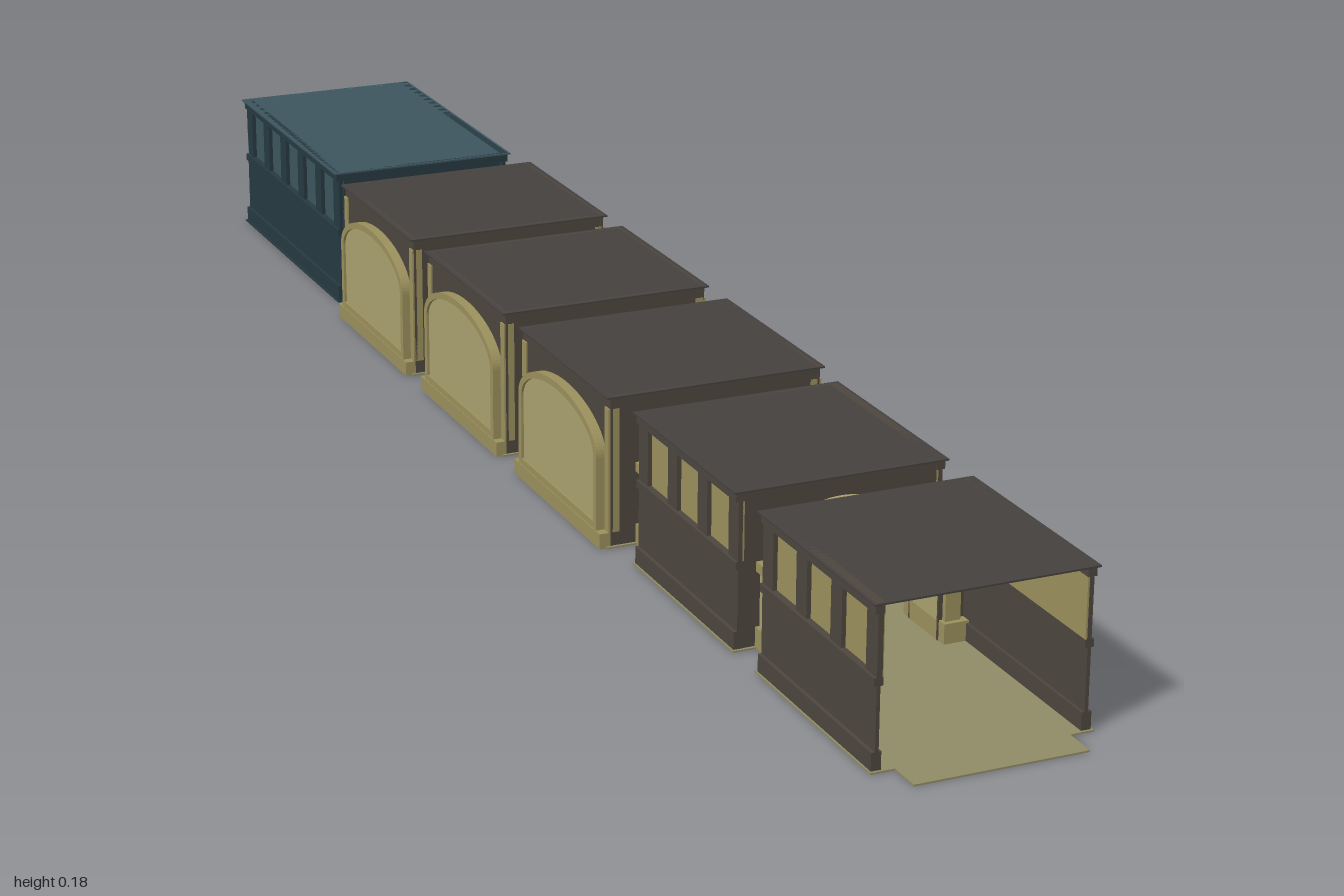
import * as THREE from 'three';

const mat = (color) => new THREE.MeshStandardMaterial({ color, side: THREE.DoubleSide });

export function createModel() {
  const root = new THREE.Group();
  root.name = 'vaultedHall';
  const stone = mat(0x9a8f5c), pale = mat(0xaaa06e), dark = mat(0x4c463e);
  const roofMat = mat(0x45413f), floorMat = mat(0x8f8a66);
  const teal = mat(0x3c555d), tealDark = mat(0x263a42);
  const H = 0.18;

  const add = (parent, name, geometry, material) => {
    const m = new THREE.Mesh(geometry, material);
    m.name = name;
    parent.add(m);
    return m;
  };
  // box given by its limits
  const box = (parent, name, material, x0, x1, y0, y1, z0, z1) => {
    const m = add(parent, name, new THREE.BoxGeometry(x1 - x0, y1 - y0, z1 - z0), material);
    m.position.set((x0 + x1) / 2, (y0 + y1) / 2, (z0 + z1) / 2);
    return m;
  };
  // the same box on both sides of the hall
  const pair = (parent, name, material, x0, x1, ...rest) => {
    box(parent, name + 'Left', material, x0, x1, ...rest);
    box(parent, name + 'Right', material, -x1, -x0, ...rest);
  };
  // outline of an arch: straight jambs under half an ellipse
  const archPath = (path, w, spring, rise, y0 = 0) => {
    path.moveTo(w, y0);
    path.lineTo(w, spring);
    path.absellipse(0, spring, w, rise, 0, Math.PI, false, 0);
    path.lineTo(-w, y0);
    path.closePath();
    return path;
  };
  const extrude = (shape, depth) =>
    new THREE.ExtrudeGeometry(shape, { depth, bevelEnabled: false, curveSegments: 20 });
  // band between two elliptical arches
  const archBand = (wo, ro, wi, ri, spring) => {
    const s = new THREE.Shape();
    s.moveTo(wo, spring);
    s.absellipse(0, spring, wo, ro, 0, Math.PI, false, 0);
    s.lineTo(-wi, spring);
    s.absellipse(0, spring, wi, ri, Math.PI, 0, true, 0);
    s.closePath();
    return s;
  };

  // end wall with an arched opening, trimmed by piers, capitals and an archivolt
  const doorWall = (room, halfWidth, z, inward, material) => {
    const s = new THREE.Shape();
    s.moveTo(-halfWidth, 0);
    s.lineTo(-0.085, 0);
    s.lineTo(-0.085, 0.095);
    s.lineTo(-0.075, 0.095);
    s.absellipse(0, 0.095, 0.075, 0.061, Math.PI, 0, true, 0);
    s.lineTo(0.085, 0.095);
    s.lineTo(0.085, 0);
    s.lineTo(halfWidth, 0);
    s.lineTo(halfWidth, H);
    s.lineTo(-halfWidth, H);
    s.closePath();
    add(room, 'doorWall', extrude(s, 0.003), material).position.z = z - 0.0015;
    const span = (d) => [Math.min(z, z + inward * d), Math.max(z, z + inward * d)];
    pair(room, 'pierPlinth', stone, 0.086, 0.116, 0, 0.025, ...span(0.014));
    pair(room, 'pierShaft', stone, 0.09, 0.108, 0.025, 0.087, ...span(0.008));
    pair(room, 'pierCapital', stone, 0.072, 0.104, 0.087, 0.098, ...span(0.012));
    add(room, 'archivolt', extrude(archBand(0.095, 0.074, 0.074, 0.06, 0.095), 0.008), stone)
      .position.z = inward > 0 ? z : z - 0.008;
  };

  const makeRoom = (name, zc, half, width, topMat, bottomMat) => {
    const room = new THREE.Group();
    room.name = name;
    room.position.z = zc;
    root.add(room);
    box(room, 'ceiling', topMat, -width, width, H - 0.002, H, -half, half);
    box(room, 'floor', bottomMat, -width, width, 0, 0.002, -half, half);
    return room;
  };

  // wainscot below, recessed panels between pilasters above
  const panelledSides = (room, half, bays, wallMat, panelMat) => {
    const h = half - 0.003;
    pair(room, 'skirting', wallMat, 0.112, 0.123, 0, 0.022, -h, h);
    pair(room, 'wainscot', wallMat, 0.115, 0.119, 0.022, 0.092, -h, h);
    pair(room, 'dadoRail', wallMat, 0.112, 0.122, 0.092, 0.101, -h, h);
    pair(room, 'upperPanel', panelMat, 0.112, 0.114, 0.101, 0.168, -h, h);
    pair(room, 'cornice', wallMat, 0.112, 0.122, 0.168, H, -h, h);
    for (let i = 0; i <= bays; i++) {
      const z = -h + 0.012 + (i / bays) * 2 * (h - 0.012);
      pair(room, 'pilaster', wallMat, 0.113, 0.119, 0.101, 0.168, z - 0.012, z + 0.012);
    }
  };

  // walls with a large blind arch that swells outward
  const nicheSides = (room, half) => {
    const h = half - 0.003;
    pair(room, 'sideWall', dark, 0.126, 0.129, 0, H, -h, h);
    pair(room, 'baseStrip', stone, 0.126, 0.142, 0, 0.018, -h, h);
    pair(room, 'cornerPost', stone, 0.118, 0.131, 0.018, 0.165, -h, -h + 0.012);
    pair(room, 'cornerPost', stone, 0.118, 0.131, 0.018, 0.165, h - 0.012, h);
    for (const side of [1, -1]) {
      const niche = new THREE.Group();
      niche.name = side > 0 ? 'nicheLeft' : 'nicheRight';
      niche.rotation.y = side * Math.PI / 2;
      niche.position.x = side * 0.128;
      room.add(niche);
      add(niche, 'nichePanel', extrude(archPath(new THREE.Shape(), 0.108, 0.105, 0.044, 0.018), 0.01), pale);
      const rim = archPath(new THREE.Shape(), 0.116, 0.105, 0.051, 0.018);
      rim.holes.push(archPath(new THREE.Path(), 0.107, 0.105, 0.043, 0.026));
      add(niche, 'nicheRim', extrude(rim, 0.013), stone);
    }
  };

  // three rooms with blind arches
  for (const zc of [-0.42, -0.11, 0.203]) {
    const room = makeRoom('archedRoom', zc, 0.131, 0.134, roofMat, floorMat);
    nicheSides(room, 0.131);
    doorWall(room, 0.127, 0.126, -1, dark);
    doorWall(room, 0.127, -0.126, 1, dark);
  }

  // two panelled rooms, the first one open at the front
  [0.515, 0.83].forEach((zc, i) => {
    const room = makeRoom('panelledRoom', zc, 0.131, 0.125, roofMat, floorMat);
    panelledSides(room, 0.131, 3, dark, stone);
    doorWall(room, 0.118, -0.126, 1, dark);
    if (i === 0) doorWall(room, 0.118, 0.126, -1, dark);
  });

  // closed room at the far end
  const endRoom = makeRoom('endRoom', -0.8, 0.2, 0.125, teal, tealDark);
  panelledSides(endRoom, 0.2, 5, tealDark, teal);
  box(endRoom, 'backWall', mat(0x6f898d), -0.119, 0.119, 0, H, -0.197, -0.194);
  doorWall(endRoom, 0.118, 0.195, -1, tealDark);

  // vaulted passages between the rooms
  for (const zc of [-0.576, -0.265, 0.046, 0.36, 0.672]) {
    const passage = new THREE.Group();
    passage.name = 'passage';
    passage.position.z = zc;
    root.add(passage);
    const d = 0.031;
    box(passage, 'passageFloor', floorMat, -0.098, 0.098, 0, 0.002, -d, d);
    pair(passage, 'passagePlinth', stone, 0.085, 0.098, 0, 0.024, -d, d);
    pair(passage, 'passageWall', pale, 0.087, 0.093, 0.024, 0.087, -d, d);
    pair(passage, 'passageCapital', stone, 0.073, 0.098, 0.087, 0.098, -d, d);
    add(passage, 'passageVault', extrude(archBand(0.078, 0.06, 0.073, 0.057, 0.097), 2 * d), pale)
      .position.z = -d;
  }

  // threshold in front of the open room
  box(root, 'threshold', floorMat, -0.098, 0.098, 0, 0.002, 0.96, 1);
  return root;
}
